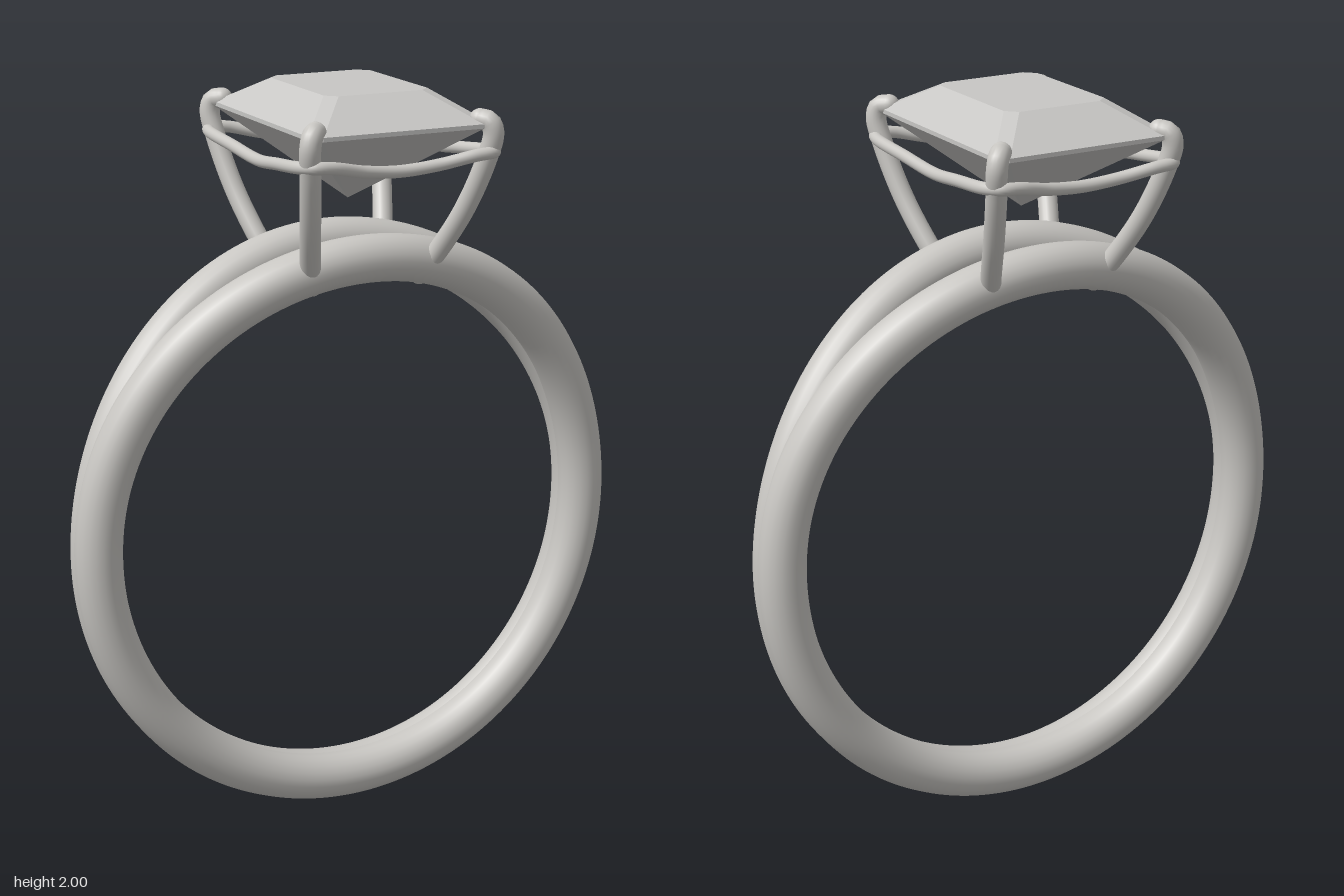
import * as THREE from 'three';

const metal = new THREE.MeshStandardMaterial({ color: 0xc8c6c2 });
metal.name = 'metal';
const stone = new THREE.MeshStandardMaterial({ color: 0xc7c6c4 });
stone.name = 'stone';
stone.flatShading = true;

const V = (x, y, z) => new THREE.Vector3(x, y, z);

function tube(name, points, radius, segments, closed) {
  const curve = new THREE.CatmullRomCurve3(points, closed, 'centripetal');
  const mesh = new THREE.Mesh(new THREE.TubeGeometry(curve, segments, radius, 20, closed), metal);
  mesh.name = name;
  return mesh;
}

// One of the two band strands, merged below and parting towards the top
function bandStrand(side) {
  const points = [];
  const n = 72;
  for (let i = 0; i < n; i++) {
    const a = (i / n) * Math.PI * 2;
    const fromTop = Math.min(a, Math.PI * 2 - a);
    const spread = 1 - THREE.MathUtils.smoothstep(fromTop, 0, 1.48);
    points.push(V(0.724 * Math.sin(a), 0.812 + 0.749 * Math.cos(a), side * (0.016 + 0.099 * spread)));
  }
  return tube(side > 0 ? 'frontBandStrand' : 'backBandStrand', points, 0.063, 200, true);
}

// Claw rising from the band and hooking over a corner of the stone
function prong(sx, sz) {
  const group = new THREE.Group();
  group.name = 'prong';
  const radius = 0.027;
  const points = [
    [0.155, 1.503, 0.11], [0.185, 1.58, 0.165], [0.219, 1.7, 0.24],
    [0.245, 1.83, 0.298], [0.254, 1.9, 0.317], [0.246, 1.928, 0.312], [0.228, 1.934, 0.292],
  ].map(([x, y, z]) => V(sx * x, y, sz * z));
  group.add(tube('prongWire', points, radius, 48, false));
  for (const p of [points[0], points[points.length - 1]]) {
    const cap = new THREE.Mesh(new THREE.SphereGeometry(radius, 20, 14), metal);
    cap.name = 'prongCap';
    cap.position.copy(p);
    group.add(cap);
  }
  return group;
}

// Wavy wire around the prongs, dipping in the middle of every side
function galleryRail() {
  const quarter = [
    [0.1, 1.829, 0.305], [0.2, 1.85, 0.329], [0.25, 1.853, 0.325],
    [0.27, 1.85, 0.285], [0.263, 1.834, 0.14],
  ];
  const place = (list, sx, sz) => list.map(([x, y, z]) => V(sx * x, y, sz * z));
  const reversed = [...quarter].reverse();
  const points = [
    V(0, 1.82, 0.295), ...place(quarter, 1, 1),
    V(0.255, 1.82, 0), ...place(reversed, 1, -1),
    V(0, 1.82, -0.295), ...place(quarter, -1, -1),
    V(-0.255, 1.82, 0), ...place(reversed, -1, 1),
  ];
  return tube('galleryRail', points, 0.016, 200, true);
}

// Step-cut stone lofted through rectangles with clipped corners
function gem() {
  const ring = (y, w, d, c) => [
    [w - c, d], [w, d - c], [w, c - d], [w - c, -d],
    [c - w, -d], [-w, c - d], [-w, d - c], [c - w, d],
  ].map(([x, z]) => [x, y, z]);
  const rings = [
    ring(1.7, 0, 0, 0), // point
    ring(1.915, 0.25, 0.325, 0.028), // girdle
    ring(1.926, 0.25, 0.325, 0.028),
    ring(2, 0.145, 0.19, 0.028), // table
    ring(2, 0, 0, 0),
  ];
  const positions = [];
  for (let r = 0; r < rings.length - 1; r++) {
    const lower = rings[r], upper = rings[r + 1];
    for (let i = 0; i < 8; i++) {
      const j = (i + 1) % 8;
      if (r > 0) positions.push(...lower[i], ...lower[j], ...upper[i]);
      if (r < rings.length - 2) positions.push(...lower[j], ...upper[j], ...upper[i]);
    }
  }
  const geometry = new THREE.BufferGeometry();
  geometry.setAttribute('position', new THREE.Float32BufferAttribute(positions, 3));
  geometry.computeVertexNormals();
  const mesh = new THREE.Mesh(geometry, stone);
  mesh.name = 'stone';
  return mesh;
}

export function createModel() {
  const model = new THREE.Group();
  model.name = 'ring';
  for (const side of [1, -1]) model.add(bandStrand(side));
  for (const sx of [1, -1]) for (const sz of [1, -1]) model.add(prong(sx, sz));
  model.add(galleryRail(), gem());
  return model;
}
